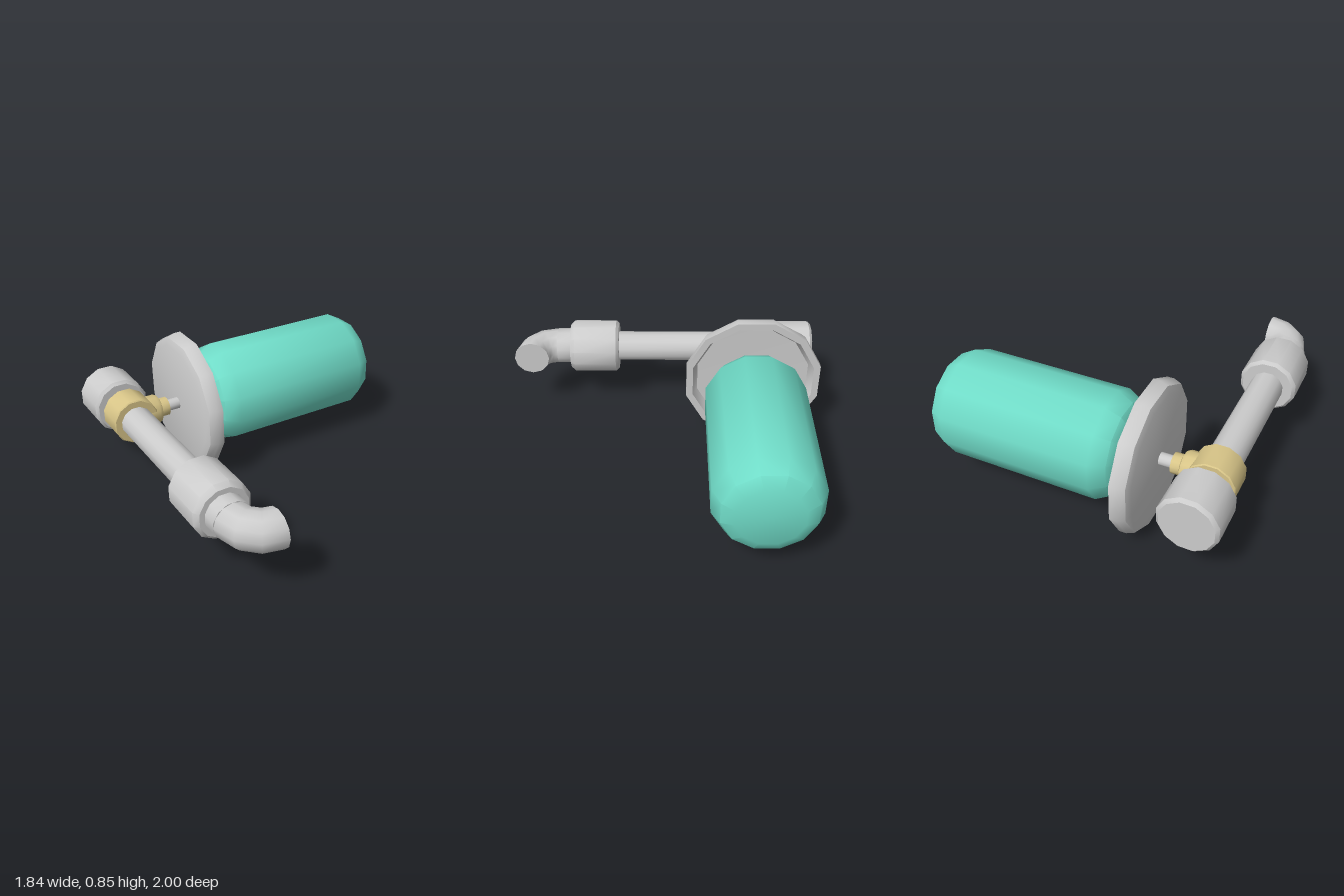
import * as THREE from 'three';
import { toCreasedNormals } from 'three/addons/utils/BufferGeometryUtils.js';

const SIDES = 12;
const AXIS_Y = 0.43, PIPE_X = -0.75, ARM_Z = -0.575;
const grey = new THREE.MeshStandardMaterial({ color: 0xcccccc });
const brass = new THREE.MeshStandardMaterial({ color: 0xd8c588 });
const teal = new THREE.MeshStandardMaterial({ color: 0x70dcc8 });

// Turned part along x or z; profile holds [position on axis, flat-to-centre radius]
function turned(name, axis, profile, material) {
  const k = 1 / Math.cos(Math.PI / SIDES);
  const points = profile.map(([p, r]) => new THREE.Vector2(r * k, p));
  let geo = new THREE.LatheGeometry(points, SIDES, Math.PI / SIDES);
  if (axis === 'x') geo.rotateZ(-Math.PI / 2).translate(0, AXIS_Y, ARM_Z);
  else geo.rotateX(Math.PI / 2).translate(PIPE_X, AXIS_Y, 0);
  geo = toCreasedNormals(geo, 0.7);
  const mesh = new THREE.Mesh(geo, material);
  mesh.name = name;
  return mesh;
}

// Closed cylinder profile with bevelled ends
const bevelled = (a, b, r, c) => [
  [a, 0], [a, r - c], [a + c, r], [b - c, r], [b, r - c], [b, 0],
];
const plain = (a, b, r) => [[a, 0], [a, r], [b, r], [b, 0]];

export function createModel() {
  const group = new THREE.Group();

  // Pipe with a collar at each end
  group.add(
    turned('pipe', 'z', plain(-0.8, 0.4, 0.096), grey),
    turned('endCap', 'z', bevelled(-0.99, -0.715, 0.17, 0.018), grey),
    turned('collar', 'z', [
      [0.305, 0], [0.305, 0.152], [0.323, 0.17], [0.6, 0.17], [0.63, 0.145], [0.635, 0],
    ], grey),
  );

  // Elbow: straight neck, quarter bend and closed mouth
  const elbow = new THREE.Group();
  elbow.name = 'elbow';
  const bendR = 0.165, boreR = 0.115;
  elbow.add(turned('elbowNeck', 'z', [[0.6, boreR], [0.72, boreR]], grey));
  const bendGeo = new THREE.TorusGeometry(bendR, boreR, SIDES, 3, Math.PI / 2);
  bendGeo.rotateZ(Math.PI / 2).rotateX(Math.PI / 2);
  const bend = new THREE.Mesh(bendGeo, grey);
  bend.name = 'elbowBend';
  bend.position.set(PIPE_X + bendR, AXIS_Y, 0.72);
  const mouth = new THREE.Mesh(new THREE.CircleGeometry(boreR, SIDES), grey);
  mouth.name = 'elbowMouth';
  mouth.rotation.y = Math.PI / 2;
  mouth.position.set(PIPE_X + bendR, AXIS_Y, 0.72 + bendR);
  elbow.add(bend, mouth);
  group.add(elbow);

  // Brass clamp around the pipe, with its side boss and nut
  group.add(
    turned('clampRing', 'z', bevelled(-0.67, -0.485, 0.14, 0.006), brass),
    turned('clampBoss', 'x', [
      [-0.75, 0], [-0.75, 0.092], [-0.59, 0.092], [-0.57, 0.083], [-0.562, 0.065], [-0.562, 0],
    ], brass),
    turned('nut', 'x', plain(-0.58, -0.508, 0.058), brass),
  );

  // Rod, dished plate and spindle
  group.add(
    turned('rod', 'x', plain(-0.55, -0.42, 0.036), grey),
    turned('plate', 'x', [
      [-0.43, 0], [-0.43, 0.37], [-0.415, 0.41], [-0.37, 0.427], [-0.328, 0.427],
      [-0.328, 0.385], [-0.385, 0.355], [-0.395, 0],
    ], grey),
    turned('spindle', 'x', plain(-0.41, -0.25, 0.071), grey),
  );

  // Rounded drum
  group.add(turned('drum', 'x', [
    [-0.268, 0], [-0.268, 0.19], [-0.23, 0.265], [-0.14, 0.311],
    [0.79, 0.311], [0.88, 0.265], [0.918, 0.19], [0.918, 0],
  ], teal));

  return group;
}
